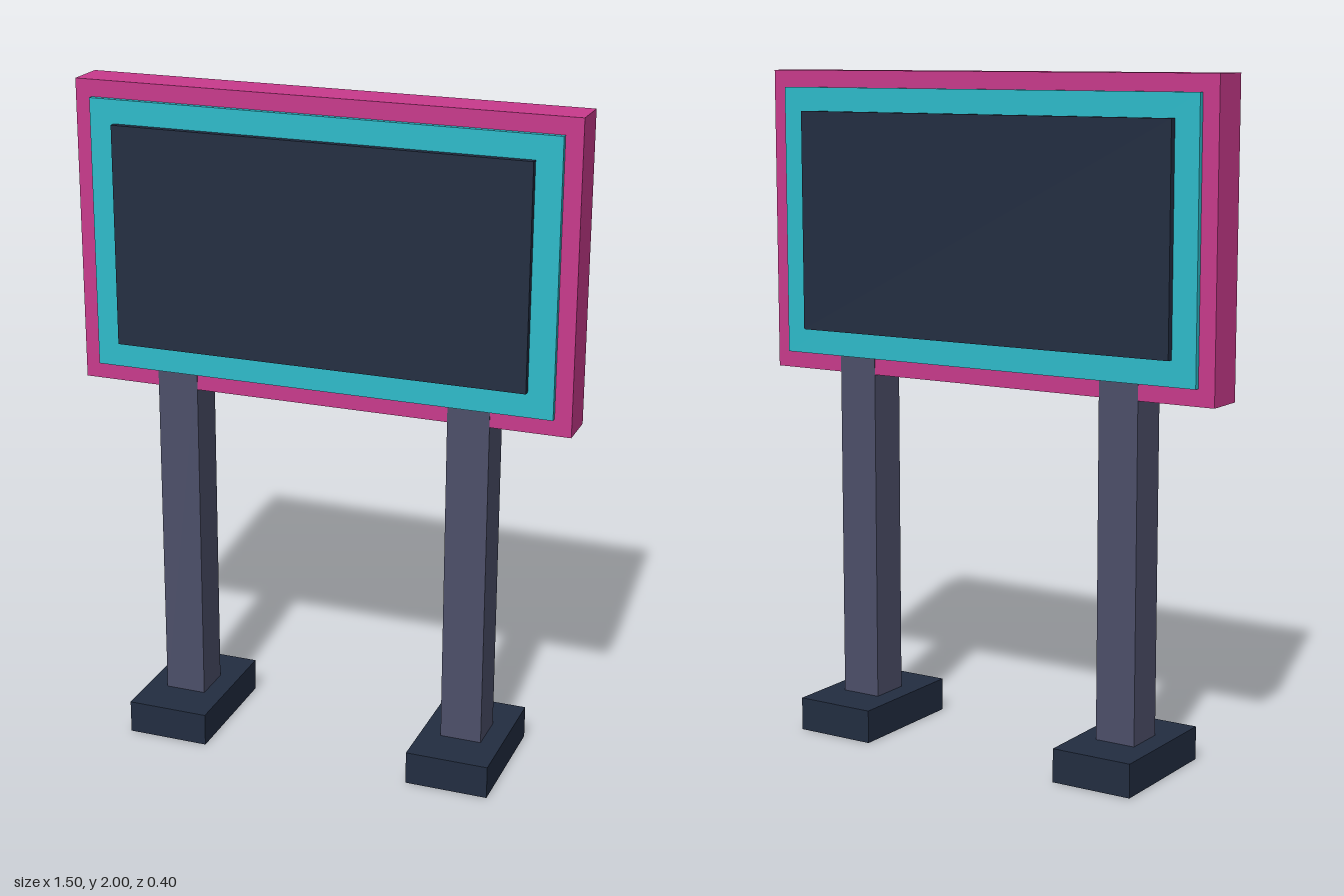
import * as THREE from 'three';

const paint = (name, color) => {
  const m = new THREE.MeshStandardMaterial({ color });
  m.name = name;
  return m;
};

export function createModel() {
  const pink = paint('pink', 0xc93a8c);
  const cyan = paint('cyan', 0x2dbccb);
  const navy = paint('navy', 0x222d41);
  const slate = paint('slate', 0x4c4f69);

  const model = new THREE.Group();
  model.name = 'billboard';

  // Box given by its size, centre x, bottom y and centre z
  const box = (name, material, [w, h, d], x, y, z = 0) => {
    const mesh = new THREE.Mesh(new THREE.BoxGeometry(w, h, d), material);
    mesh.name = name;
    mesh.position.set(x, y + h / 2, z);
    model.add(mesh);
  };

  // Sign board
  box('frame', pink, [1.496, 0.9, 0.124], 0, 1.1);

  // Raised border and screen on both faces
  for (const [side, s] of [['front', 1], ['back', -1]]) {
    box(side + 'Border', cyan, [1.396, 0.8, 0.03], 0, 1.15, s * 0.063);
    box(side + 'Screen', navy, [1.246, 0.655, 0.03], 0, 1.225, s * 0.083);
  }

  // Posts lap just over the frame and end behind the borders
  for (const [side, s] of [['left', 1], ['right', -1]]) {
    box(side + 'Foot', navy, [0.25, 0.1, 0.4], s * 0.449, 0);
    box(side + 'Post', slate, [0.125, 1.1, 0.126], s * 0.449, 0.08);
  }

  return model;
}
